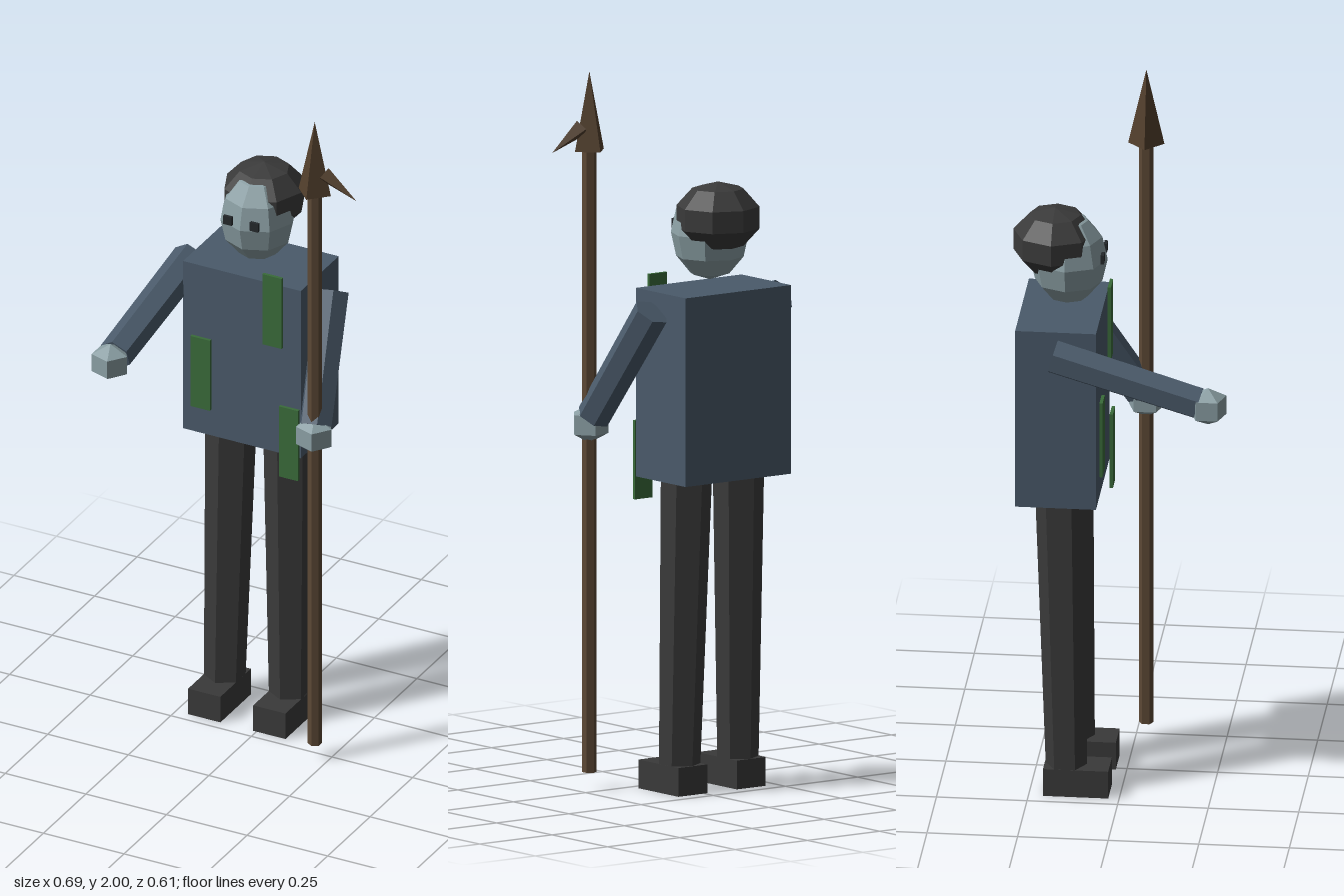
import * as THREE from 'three';

const paint = (name, color) => {
  const m = new THREE.MeshStandardMaterial({ color, flatShading: true });
  m.name = name;
  return m;
};

export function createModel() {
  const cloth = paint('blue grey cloth', 0x4a5a6a);
  const skin = paint('pale skin', 0x8a9ea3);
  const dark = paint('charcoal', 0x3a3a3a);
  const eyeDark = paint('eye dark', 0x24282b);
  const green = paint('green strips', 0x3a6b3a);
  const wood = paint('brown wood', 0x5c4835);
  const tipBrown = paint('dark brown tip', 0x523f2c);

  const model = new THREE.Group();
  model.name = 'spearman';
  const CX = -0.061; // body centre line

  const add = (name, geometry, material, x, y, z) => {
    const mesh = new THREE.Mesh(geometry, material);
    mesh.name = name;
    mesh.position.set(x, y, z);
    model.add(mesh);
    return mesh;
  };
  const box = (name, material, w, h, d, x, y, z) =>
    add(name, new THREE.BoxGeometry(w, h, d), material, x, y, z);
  // Tapered prism running from point a to point b
  const limb = (name, material, a, b, ra, rb, sides = 6) => {
    const start = new THREE.Vector3(...a), end = new THREE.Vector3(...b);
    const dir = end.clone().sub(start);
    const mid = start.add(end).multiplyScalar(0.5);
    const mesh = add(name, new THREE.CylinderGeometry(rb, ra, dir.length(), sides), material, mid.x, mid.y, mid.z);
    mesh.quaternion.setFromUnitVectors(new THREE.Vector3(0, 1, 0), dir.normalize());
    return mesh;
  };
  const ball = (name, material, rx, ry, ws, hs, x, y, z) => {
    const geometry = new THREE.SphereGeometry(1, ws, hs).rotateY(Math.PI).scale(rx, ry, rx);
    return add(name, geometry, material, x, y, z);
  };

  // Torso
  box('torso', cloth, 0.365, 0.525, 0.223, CX, 1.1375, -0.172);

  // Head with a hair cap set back on it
  ball('head', skin, 0.108, 0.13, 8, 6, CX, 1.548, -0.155);
  ball('hair', dark, 0.121, 0.098, 8, 5, CX, 1.597, -0.192);

  // Legs, shoes and eyes, mirrored about the centre line
  for (const [side, s] of [['left', 1], ['right', -1]]) {
    limb(side + 'Leg', dark, [CX + s * 0.101, 0.06, -0.15], [CX + s * 0.09, 0.885, -0.167], 0.057, 0.071);
    box(side + 'Shoe', dark, 0.1, 0.08, 0.18, CX + s * 0.101, 0.04, -0.12);
    box(side + 'Eye', eyeDark, 0.026, 0.026, 0.009, CX + s * 0.041, 1.567, -0.0565);
  }

  // Arms: the right reaches forward, the left holds the spear
  const arms = [
    ['right', [-0.28, 1.345, -0.175], [-0.303, 1.225, 0.255]],
    ['left', [0.157, 1.352, -0.177], [0.213, 1.02, 0.031]],
  ];
  for (const [side, shoulder, hand] of arms) {
    const wrist = shoulder.map((v, i) => v + (hand[i] - v) * 0.94);
    limb(side + 'Arm', cloth, shoulder, wrist, 0.051, 0.048);
    ball(side + 'Hand', skin, 0.06, 0.054, 5, 3, ...hand);
  }

  // Green strips hanging on the chest
  for (const [x, y] of [[0.04, 1.322], [-0.183, 1.07], [0.091, 0.92]])
    box('greenStrip', green, 0.06, 0.22, 0.009, x, y, -0.05);

  // Spear with a four-sided head and a side barb
  const SX = 0.213, SZ = 0.031;
  limb('spearShaft', wood, [SX, 0.05, SZ], [SX, 1.8, SZ], 0.02, 0.02);
  limb('spearHead', tipBrown, [SX, 1.78, SZ], [SX, 2, SZ], 0.05, 0, 4);
  limb('spearBarb', tipBrown, [0.243, 1.845, SZ], [0.342, 1.785, SZ], 0.025, 0, 4);

  return model;
}
